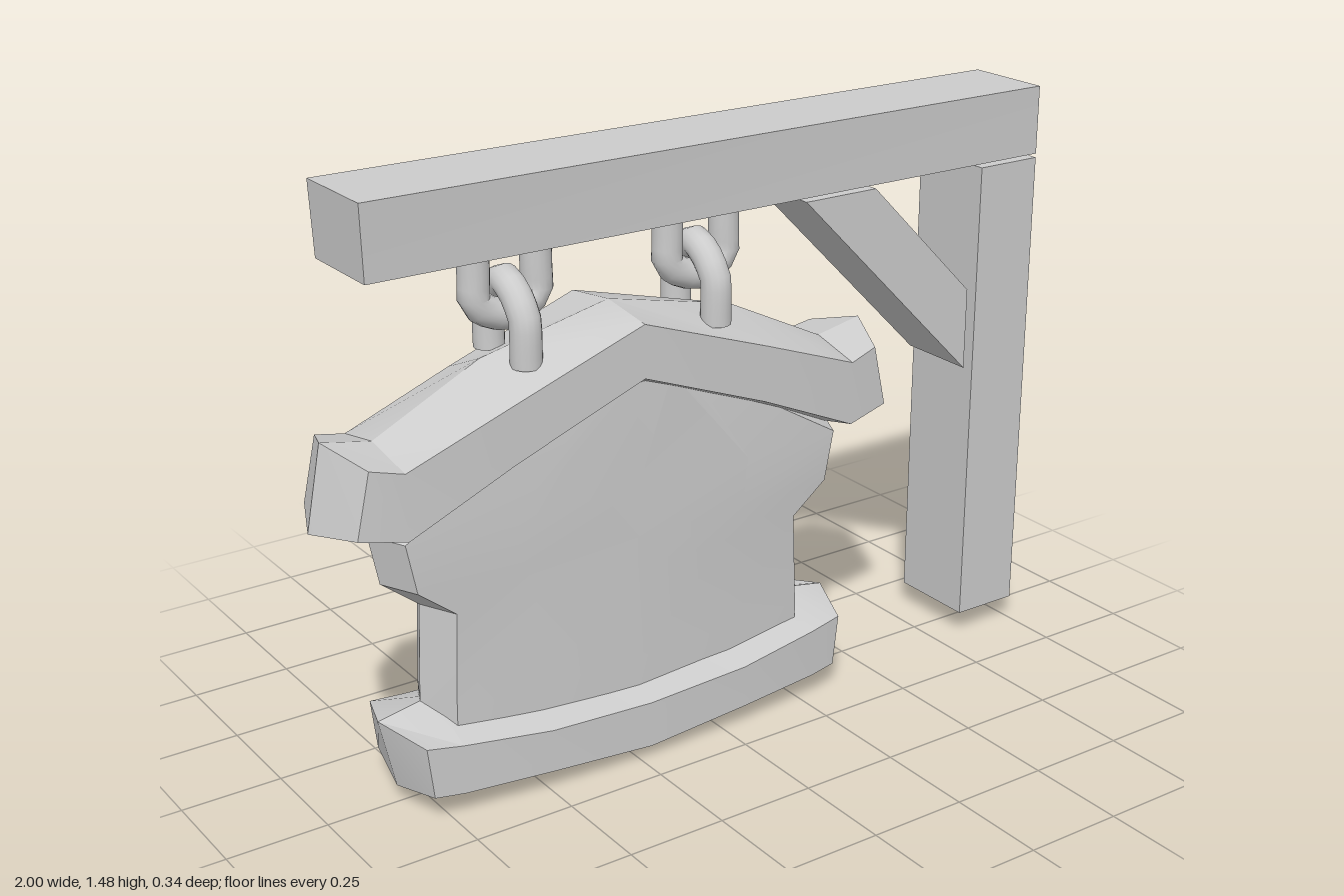
import * as THREE from 'three';
import { toCreasedNormals } from 'three/addons/utils/BufferGeometryUtils.js';

const grey = new THREE.MeshStandardMaterial({ color: 0xcccccc });
const SIGN_X = -0.22; // centre line of the hanging sign

function part(name, geometry, crease = 0.35) {
  const mesh = new THREE.Mesh(toCreasedNormals(geometry, crease), grey);
  mesh.name = name;
  return mesh;
}

// Closed solid through rings of points, counter-clockwise around the loft direction
function loft(rings) {
  const pos = [];
  const tri = (a, b, c) => pos.push(...a, ...b, ...c);
  const n = rings[0].length;
  for (let i = 0; i < rings.length - 1; i++) {
    for (let j = 0; j < n; j++) {
      const k = (j + 1) % n;
      const [a, b, c, d] = [rings[i][j], rings[i][k], rings[i + 1][k], rings[i + 1][j]];
      tri(a, b, c);
      tri(a, c, d);
    }
  }
  const first = rings[0], last = rings[rings.length - 1];
  for (let j = 1; j < n - 1; j++) {
    tri(first[0], first[j + 1], first[j]);
    tri(last[0], last[j], last[j + 1]);
  }
  const g = new THREE.BufferGeometry();
  g.setAttribute('position', new THREE.Float32BufferAttribute(pos, 3));
  return g;
}

// Mirrored board with a ridge along its middle. Each section, from the end to
// the centre: [x, y] of middle top, edge top, edge bottom, middle bottom, then depth
function ridgedBoard(sections) {
  const ring = ([mt, et, eb, mb, z], s) => [
    [s * mt[0], mt[1], 0], [s * et[0], et[1], z], [s * eb[0], eb[1], z],
    [s * mb[0], mb[1], 0], [s * eb[0], eb[1], -z], [s * et[0], et[1], -z],
  ];
  const left = sections.map((p) => ring(p, -1));
  const right = sections.slice(0, -1).reverse().map((p) => ring(p, 1));
  return loft([...left, ...right]);
}

// Round bar bent along a path, with closed ends
function bentBar(points) {
  const path = new THREE.CatmullRomCurve3(points.map((p) => new THREE.Vector3(...p)), false, 'catmullrom', 0.3);
  const round = new THREE.Shape().absarc(0, 0, 0.037, 0, Math.PI * 2);
  return new THREE.ExtrudeGeometry(round, { steps: 16, curveSegments: 8, extrudePath: path });
}

function createSign() {
  const sign = new THREE.Group();
  sign.name = 'hangingSign';
  sign.position.x = SIGN_X;

  // Gabled cap with upturned ends
  sign.add(part('signRoof', ridgedBoard([
    [[0.74, 0.935], [0.69, 0.90], [0.725, 0.745], [0.78, 0.73], 0.13],
    [[0.615, 0.91], [0.61, 0.88], [0.61, 0.72], [0.61, 0.687], 0.143],
    [[0.34, 1.045], [0.34, 0.98], [0.34, 0.84], [0.34, 0.80], 0.15],
    [[0, 1.12], [0, 1.10], [0, 0.97], [0, 0.92], 0.152],
  ])));

  // Sagging bottom board
  sign.add(part('signBase', ridgedBoard([
    [[0.64, 0.225], [0.59, 0.20], [0.575, 0.07], [0.60, 0.045], 0.14],
    [[0.50, 0.25], [0.50, 0.187], [0.50, 0.063], [0.50, 0.038], 0.15],
    [[0.275, 0.24], [0.275, 0.163], [0.275, 0.055], [0.275, 0.03], 0.17],
    [[0, 0.235], [0, 0.15], [0, 0.033], [0, 0.002], 0.17],
  ])));

  // Panel with notched sides: [height, half width]
  const panel = [[0.12, 0.53], [0.25, 0.53], [0.49, 0.52], [0.565, 0.615], [0.69, 0.64], [0.95, 0.2]];
  const face = (w) => [[w, 0], [w - 0.045, 0.095], [w * 0.5, 0.112], [0, 0.118]];
  sign.add(part('signPanel', loft([...panel].reverse().map(([y, w]) => {
    const q = face(w);
    const front = [...q, ...q.slice(0, 3).reverse().map(([x, z]) => [-x, z])];
    const back = front.slice(1, -1).reverse().map(([x, z]) => [x, -z]);
    return [...front, ...back].map(([x, z]) => [x, y, z]);
  }))));
  return sign;
}

// Hook under the beam interlocked with a staple on the sign roof
function createHanger(x) {
  const hanger = new THREE.Group();
  hanger.name = 'hanger';
  hanger.position.set(x, 0, -0.015);
  hanger.add(part('upperLink', bentBar([
    [-0.08, 1.28, 0], [-0.08, 1.22, 0], [-0.08, 1.17, 0], [-0.04, 1.14, 0], [0, 1.13, 0],
    [0.04, 1.14, 0], [0.08, 1.17, 0], [0.08, 1.22, 0], [0.08, 1.28, 0],
  ]), 0.9));
  hanger.add(part('lowerLink', bentBar([
    [0, 1.03, 0.082], [0, 1.08, 0.083], [0, 1.14, 0.08], [0, 1.185, 0.045], [0, 1.21, 0],
    [0, 1.185, -0.045], [0, 1.14, -0.08], [0, 1.08, -0.083], [0, 1.03, -0.082],
  ]), 0.9));
  return hanger;
}

function createFrame() {
  const frame = new THREE.Group();
  frame.name = 'frame';

  const post = part('post', new THREE.BoxGeometry(0.18, 1.225, 0.23));
  post.position.set(0.91, 0.6775, -0.015);

  // Beam with a slightly uneven free end
  const beamGeo = new THREE.BoxGeometry(1.88, 0.172, 0.23);
  const p = beamGeo.attributes.position;
  for (let i = 0; i < p.count; i++) {
    if (p.getX(i) < 0 && p.getY(i) > 0) {
      p.setX(i, p.getX(i) - 0.008);
      p.setY(i, p.getY(i) + 0.006);
      if (p.getZ(i) > 0) p.setZ(i, p.getZ(i) + 0.008);
    }
  }
  const beam = part('beam', beamGeo);
  beam.position.set(0.06, 1.386, -0.015);

  // Diagonal brace
  const outline = [[0.28, 1.287], [0.80, 0.765], [0.80, 0.975], [0.49, 1.287]];
  const shape = new THREE.Shape(outline.map(([x, y]) => new THREE.Vector2(x, y)));
  const brace = part('brace', new THREE.ExtrudeGeometry(shape, { depth: 0.21, bevelEnabled: false }));
  brace.position.z = -0.12;

  frame.add(post, beam, brace);
  return frame;
}

export function createModel() {
  const model = new THREE.Group();
  model.name = 'hangingSignpost';
  model.add(createFrame(), createSign());
  for (const x of [-0.48, 0.035]) model.add(createHanger(x));
  return model;
}
